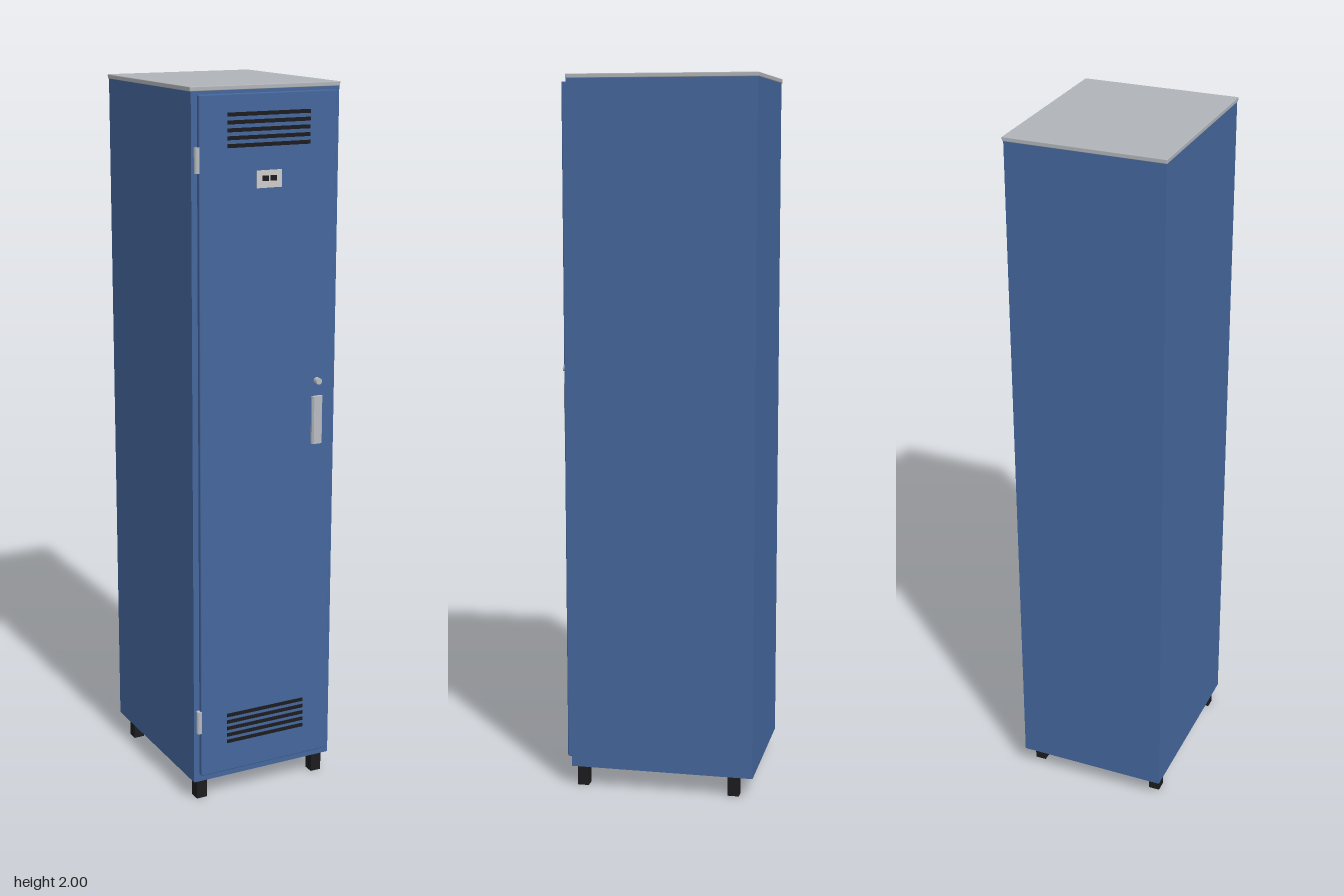
import * as THREE from 'three';
import { RoundedBoxGeometry } from 'three/addons/geometries/RoundedBoxGeometry.js';

export function createModel() {
  const locker = new THREE.Group();
  locker.name = 'locker';

  const mat = (color) => new THREE.MeshStandardMaterial({ color });
  const blue = mat(0x44669c);
  const lidGrey = mat(0xb0b4b9);
  const metal = mat(0xb8bcc0);
  const plateGrey = mat(0xcccccc);
  const black = mat(0x1c1c1e);

  const add = (name, geometry, material, x, y, z) => {
    const mesh = new THREE.Mesh(geometry, material);
    mesh.name = name;
    mesh.position.set(x, y, z);
    locker.add(mesh);
    return mesh;
  };

  // Box given by its limits on each axis; a radius softens the edges
  const box = (name, material, [x0, x1], [y0, y1], [z0, z1], radius = 0) => {
    const size = [x1 - x0, y1 - y0, z1 - z0];
    const geometry = radius
      ? new RoundedBoxGeometry(...size, 2, radius)
      : new THREE.BoxGeometry(...size);
    return add(name, geometry, material, (x0 + x1) / 2, (y0 + y1) / 2, (z0 + z1) / 2);
  };

  // Cabinet, lid and door
  box('cabinet', blue, [-0.218, 0.218], [0.06, 1.988], [-0.276, 0.246]);
  box('lid', lidGrey, [-0.221, 0.221], [1.988, 2], [-0.279, 0.247], 0.002);
  box('door', blue, [-0.203, 0.203], [0.083, 1.98], [0.248, 0.262], 0.003);

  // Feet
  for (const x of [-0.187, 0.187]) {
    for (const z of [-0.219, 0.217]) {
      box('foot', black, [x - 0.016, x + 0.016], [0, 0.06], [z - 0.016, z + 0.016]);
    }
  }

  // Vent slots at the top and bottom of the door
  for (const base of [1.848, 0.174]) {
    for (let i = 0; i < 5; i++) {
      const y = base + i * 0.02;
      box('ventSlot', black, [-0.122, 0.122], [y - 0.005, y + 0.005], [0.26, 0.2645]);
    }
  }

  // Name plate with two dark windows
  box('namePlate', plateGrey, [-0.037, 0.037], [1.735, 1.781], [0.261, 0.265]);
  for (const x of [-0.011, 0.012]) {
    box('plateWindow', black, [x - 0.009, x + 0.009], [1.753, 1.767], [0.264, 0.267]);
  }

  // Handle with chamfered edges
  const grip = new THREE.Shape();
  grip.moveTo(-0.016, 0);
  grip.lineTo(0.016, 0);
  grip.lineTo(0.016, -0.007);
  grip.lineTo(0.012, -0.012);
  grip.lineTo(-0.012, -0.012);
  grip.lineTo(-0.016, -0.007);
  const handle = add('handle',
    new THREE.ExtrudeGeometry(grip, { depth: 0.135, bevelEnabled: false }),
    metal, 0.153, 1.02, 0.261);
  handle.rotation.x = -Math.PI / 2;

  // Lock above the handle
  const lock = add('lock', new THREE.CylinderGeometry(0.009, 0.009, 0.016, 16),
    metal, 0.153, 1.198, 0.269);
  lock.rotation.x = Math.PI / 2;

  // Hinge barrels
  for (const y of [0.248, 1.815]) {
    add('hinge', new THREE.CylinderGeometry(0.008, 0.008, 0.066, 16), metal, -0.206, y, 0.2555);
  }

  return locker;
}
